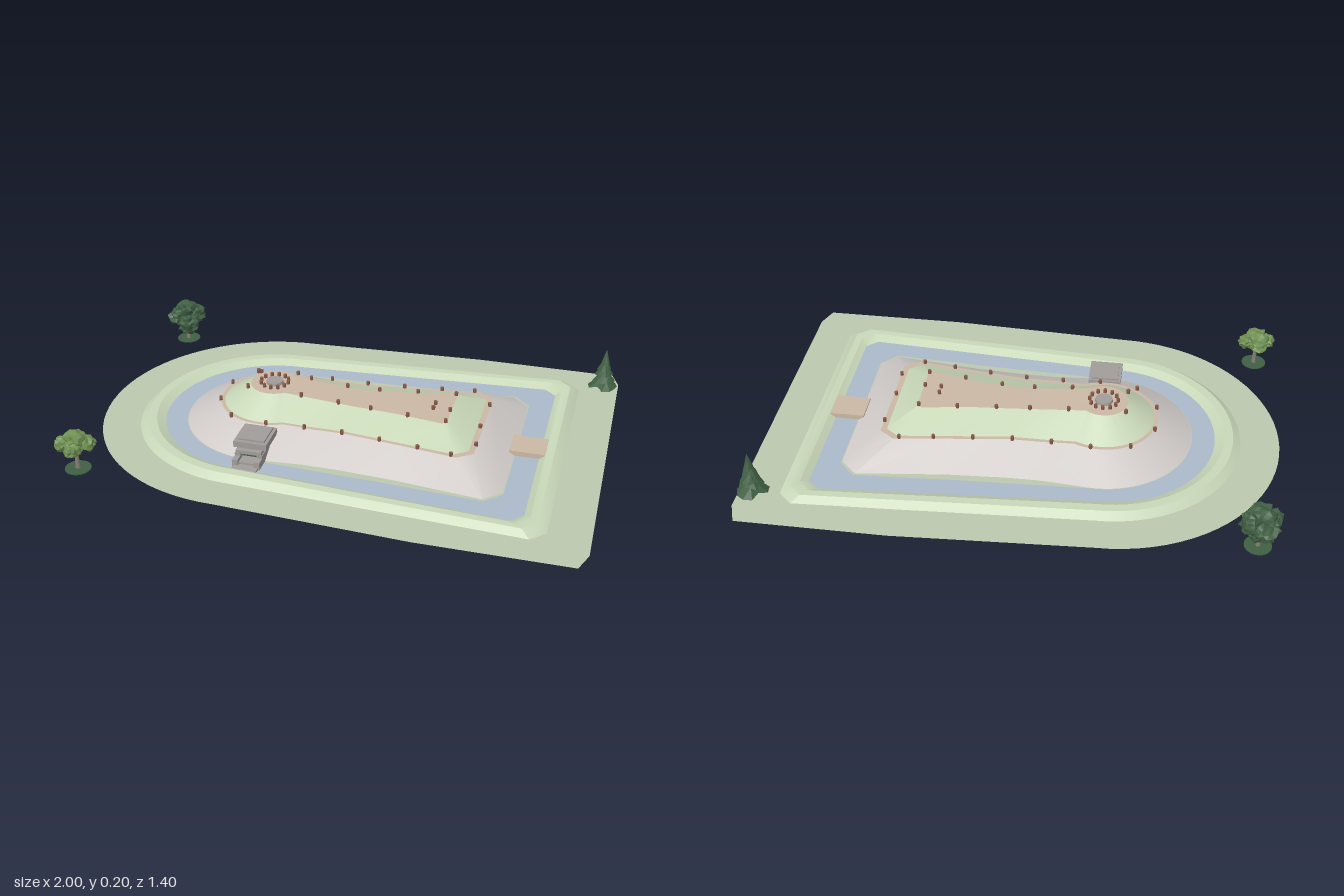
import * as THREE from 'three';
import { mergeGeometries, toCreasedNormals } from 'three/addons/utils/BufferGeometryUtils.js';

const mat = (name, color) => {
  const m = new THREE.MeshStandardMaterial({ color, side: THREE.DoubleSide });
  m.name = name;
  return m;
};

// Symmetric keyhole outline: round left end, then side points towards the right end
function outline(cx, r, endDeg, side, y) {
  const half = [], n = 20;
  for (let i = 0; i <= n; i++) {
    const a = Math.PI - (Math.PI - THREE.MathUtils.degToRad(endDeg)) * i / n;
    half.push([cx + r * Math.cos(a), i ? r * Math.sin(a) : 0]);
  }
  half.push(...side);
  const loop = half.concat(half.slice(1).reverse().map(([x, z]) => [x, -z]));
  return loop.map(([x, z]) => new THREE.Vector3(x, typeof y === 'function' ? y(x) : y, z));
}

function fromTriangles(tris) {
  const g = new THREE.BufferGeometry().setFromPoints(tris);
  g.computeVertexNormals();
  return toCreasedNormals(g, 0.45);
}

// Surface through outlines, ordered from outside to inside
function band(...loops) {
  const t = [];
  for (let k = 0; k + 1 < loops.length; k++) {
    const a = loops[k], b = loops[k + 1];
    a.forEach((p, i) => {
      const j = (i + 1) % a.length;
      t.push(p, a[j], b[j], p, b[j], b[i]);
    });
  }
  return fromTriangles(t);
}

// Closes an outline by joining each point to its mirror image
function cap(loop) {
  const n = loop.length, m = (n + 1) / 2, t = [loop[0], loop[1], loop[n - 1]];
  for (let i = 1; i + 1 < m; i++) {
    const a = loop[i], b = loop[i + 1], c = loop[n - i - 1], d = loop[n - i];
    t.push(a, b, c, a, c, d);
  }
  return fromTriangles(t);
}

// Pushes vertices in and out by a repeatable amount for ragged foliage
function ragged(geo, amount) {
  const g = geo.index ? geo.toNonIndexed() : geo, p = g.attributes.position, v = new THREE.Vector3();
  for (let i = 0; i < p.count; i++) {
    v.fromBufferAttribute(p, i);
    const q = v.clone().multiplyScalar(1e3).round();
    const h = Math.sin(q.x * 12.99 + q.y * 78.23 + q.z * 37.72) * 43758.5;
    v.multiplyScalar(1 + amount * (2 * (h - Math.floor(h)) - 1));
    p.setXYZ(i, v.x, v.y, v.z);
  }
  g.computeVertexNormals();
  return g;
}

export function createModel() {
  const root = new THREE.Group();
  const M = {
    ground: mat('groundGreen', 0xbcc8ae), grass: mat('grass', 0xc8d7b8), stone: mat('paleStone', 0xcfcac7),
    earth: mat('tanEarth', 0xcab8a5), water: mat('water', 0xabb9c9), grey: mat('greyStone', 0xa09c9a),
    clay: mat('clay', 0x8a5a48), dark: mat('darkLeaf', 0x3f5f43), light: mat('lightLeaf', 0x6f9052),
    bark: mat('bark', 0x8a8076),
  };
  const add = (name, geo, m, x = 0, y = 0, z = 0, parent = root) => {
    const mesh = new THREE.Mesh(geo, m);
    mesh.name = name;
    mesh.position.set(x, y, z);
    parent.add(mesh);
    return mesh;
  };
  const box = (name, m, x0, x1, y0, y1, z0, z1, parent) =>
    add(name, new THREE.BoxGeometry(x1 - x0, y1 - y0, z1 - z0), m, (x0 + x1) / 2, (y0 + y1) / 2, (z0 + z1) / 2, parent);

  // Ground, bank and moat
  const edge = outline(-0.34, 0.66, 90, [[0.4, 0.7], [0.97, 0.7], [1, 0.62]], 0);
  const foot = outline(-0.33, 0.52, 90, [[0.4, 0.56], [0.79, 0.58], [0.845, 0.53]], 0.001);
  const crestOut = outline(-0.33, 0.49, 90, [[0.4, 0.533], [0.76, 0.555], [0.81, 0.51]], 0.024);
  const crestIn = outline(-0.33, 0.455, 90, [[0.4, 0.503], [0.735, 0.525], [0.78, 0.48]], 0.024);
  const shore = outline(-0.33, 0.42, 90, [[0.3, 0.463], [0.71, 0.49], [0.755, 0.45]], 0.006);
  const island = outline(-0.31, 0.352, 88, [[0.2, 0.373], [0.6, 0.398], [0.663, 0.335]], 0.006);
  add('ground', band(edge, foot), M.ground);
  add('bank', band(foot, crestOut, crestIn, shore), M.grass);
  add('moatWater', band(shore, island), M.water);
  add('island', cap(island), M.ground);

  // Keyhole mound in two tiers
  const topY = x => x < -0.24 ? 0.155 : x < -0.1 ? 0.155 - (x + 0.24) * 0.1
    : x < 0.05 ? 0.141 - (x + 0.1) * 0.06 : 0.132 + (x - 0.05) * 0.023;
  const base = outline(-0.31, 0.35, 82,
    [[-0.1, 0.334], [0.03, 0.335], [0.25, 0.348], [0.595, 0.388], [0.66, 0.325]], 0.007);
  const ledgeOut = outline(-0.31, 0.215, 64,
    [[-0.1, 0.2], [0.03, 0.2], [0.25, 0.228], [0.47, 0.258], [0.53, 0.215]], 0.085);
  const ledgeIn = outline(-0.31, 0.2, 64,
    [[-0.1, 0.185], [0.03, 0.185], [0.25, 0.212], [0.46, 0.238], [0.508, 0.2]], 0.085);
  const top = outline(-0.31, 0.095, 50,
    [[-0.1, 0.068], [0.03, 0.07], [0.2, 0.086], [0.385, 0.12], [0.405, 0.112]], topY);
  add('stoneSlope', band(base, ledgeOut), M.stone);
  add('terrace', band(ledgeOut, ledgeIn), M.earth);
  add('grassSlope', band(ledgeIn, top), M.grass);
  add('summit', cap(top), M.earth);

  // Clay posts along the terrace, the summit edge and the round altar
  const post = new THREE.CylinderGeometry(0.007, 0.007, 0.018, 8);
  const posts = new THREE.Group();
  posts.name = 'clayPosts';
  root.add(posts);
  const putPost = (x, y, z) => add('clayPost', post, M.clay, x, y + 0.006, z, posts);
  const mirrorPosts = (list, y) => list.forEach(([x, z]) => [1, -1].forEach(s => putPost(x, y(x), s * z)));
  mirrorPosts([[-0.515, 0.07], [-0.43, 0.185], [-0.28, 0.21], [-0.13, 0.2], [0.02, 0.2], [0.17, 0.214],
    [0.32, 0.232], [0.45, 0.25], [0.527, 0.155]], () => 0.085);
  putPost(0.52, 0.085, 0.02);
  mirrorPosts([[-0.4, 0.065], [-0.18, 0.07], [-0.03, 0.068], [0.1, 0.075], [0.25, 0.094], [0.4, 0.108],
    [0.335, 0.02]], topY);
  putPost(0.4, topY(0.4), 0.02);
  for (let i = 0; i < 12; i++) {
    const a = i / 12 * Math.PI * 2;
    putPost(-0.31 + 0.055 * Math.cos(a), 0.155, 0.055 * Math.sin(a));
  }
  add('altar', new THREE.CylinderGeometry(0.033, 0.035, 0.012, 24), M.grey, -0.31, 0.16, 0);

  // Stone entrance chamber and its landing
  const gate = new THREE.Group();
  gate.name = 'entranceChamber';
  root.add(gate);
  box('roofSlab', M.grey, -0.36, -0.23, 0.06, 0.085, 0.225, 0.36, gate);
  box('roofCap', M.grey, -0.348, -0.242, 0.085, 0.092, 0.235, 0.345, gate);
  box('lintel', M.grey, -0.345, -0.245, 0.046, 0.06, 0.3, 0.378, gate);
  for (const s of [-1, 1]) {
    const x = -0.295 + s * 0.043;
    box('doorPillar', M.grey, x - 0.011, x + 0.011, 0.006, 0.046, 0.26, 0.378, gate);
    box('cheekWall', M.grey, x - 0.011, x + 0.011, 0.006, 0.036, 0.378, 0.412, gate);
  }
  box('darkOpening', M.dark, -0.33, -0.26, 0.006, 0.046, 0.3, 0.35, gate);
  box('step', M.grey, -0.33, -0.26, 0.004, 0.022, 0.35, 0.4, gate);
  box('landing', M.grey, -0.343, -0.247, 0.002, 0.014, 0.38, 0.45, gate);

  // Causeway across the moat
  box('causeway', M.earth, 0.64, 0.775, 0.002, 0.026, -0.06, 0.06);

  // Trees: trunk, branches, shaded disc and ragged foliage
  function tree(name, x, z, leaf, clumps) {
    const g = new THREE.Group();
    g.name = name;
    g.position.set(x, 0, z);
    root.add(g);
    add('rootDisc', new THREE.CylinderGeometry(0.05, 0.05, 0.004, 20), M.dark, 0, 0.002, 0, g);
    add('trunk', new THREE.CylinderGeometry(0.006, 0.01, 0.09, 7), M.bark, 0, 0.045, 0, g);
    for (const s of [-1, 1]) {
      const b = add('branch', new THREE.CylinderGeometry(0.003, 0.005, 0.06, 5), M.bark, s * 0.018, 0.075, 0, g);
      b.rotation.z = -s * 0.7;
    }
    const parts = clumps.map(([cx, cy, cz, r], i) => {
      const c = ragged(new THREE.IcosahedronGeometry(r, 2), 0.26);
      return c.scale(1, 0.85, 1).rotateY(i * 1.3).translate(cx, cy, cz);
    });
    add('foliage', mergeGeometries(parts), leaf, 0, 0, 0, g);
  }
  tree('paleTree', -0.905, 0.565, M.light, [[0, 0.122, 0, 0.045], [-0.042, 0.108, 0.01, 0.032],
    [0.042, 0.11, -0.01, 0.032], [0.008, 0.106, 0.045, 0.032], [-0.01, 0.11, -0.042, 0.03]]);
  tree('darkTree', -0.91, -0.57, M.dark, [[0, 0.145, 0, 0.045], [-0.035, 0.115, 0.02, 0.04],
    [0.035, 0.12, -0.02, 0.04], [0.02, 0.1, 0.035, 0.04], [-0.02, 0.105, -0.035, 0.042], [0, 0.065, 0, 0.04]]);

  // Narrow evergreen from stacked ragged cones
  const fir = new THREE.Group();
  fir.name = 'evergreen';
  fir.position.set(0.94, 0, -0.55);
  root.add(fir);
  add('trunk', new THREE.CylinderGeometry(0.006, 0.009, 0.06, 7), M.bark, 0, 0.03, 0, fir);
  const tiers = [];
  for (let i = 0; i < 5; i++) {
    const c = ragged(new THREE.ConeGeometry(0.052 - i * 0.008, 0.06, 11, 2), 0.22);
    tiers.push(c.rotateY(i).translate(0, 0.06 + i * 0.025, 0));
  }
  add('foliage', mergeGeometries(tiers), M.dark, 0, 0, 0, fir);

  return root;
}
